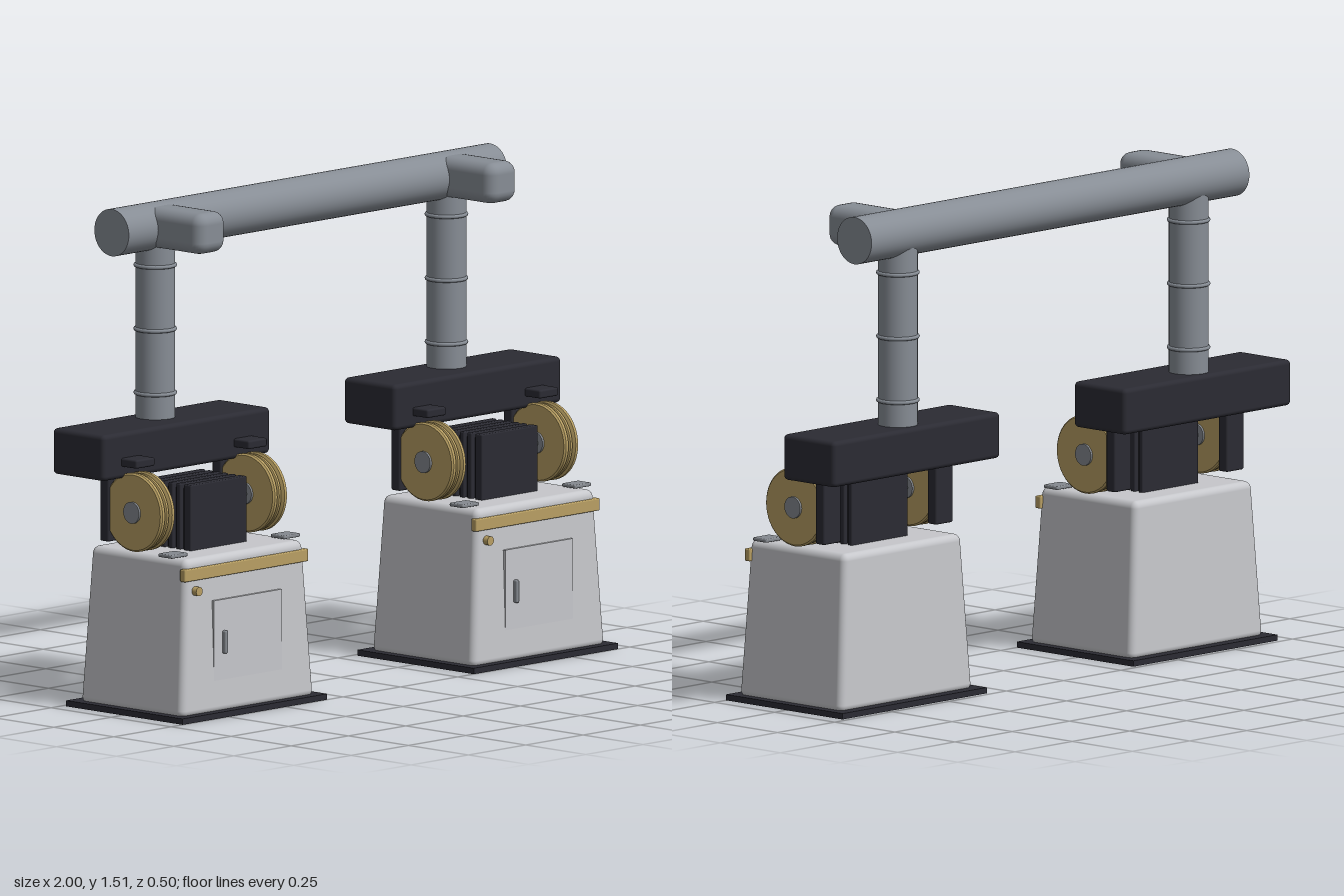
import * as THREE from 'three';
import { RoundedBoxGeometry } from 'three/addons/geometries/RoundedBoxGeometry.js';

const mat = (name, color) => {
  const m = new THREE.MeshStandardMaterial({ color });
  m.name = name;
  return m;
};

export function createModel() {
  const paint = mat('light grey paint', 0xc6c7cb);
  const black = mat('black housing', 0x2b2b33);
  const brass = mat('brass', 0xb89f63);
  const pipe = mat('pipe grey', 0x878d95);
  const steel = mat('steel', 0x85898f);

  const add = (parent, name, geo, material, x = 0, y = 0, z = 0) => {
    const m = new THREE.Mesh(geo, material);
    m.name = name;
    m.position.set(x, y, z);
    parent.add(m);
    return m;
  };
  // Box given by centre x, width, and its y and z ranges; r rounds the edges
  const block = (parent, name, material, x, w, y0, y1, z0, z1, r = 0) => {
    const geo = r
      ? new RoundedBoxGeometry(w, y1 - y0, z1 - z0, 3, r)
      : new THREE.BoxGeometry(w, y1 - y0, z1 - z0);
    return add(parent, name, geo, material, x, (y0 + y1) / 2, (z0 + z1) / 2);
  };
  const rodX = (r, len) => new THREE.CylinderGeometry(r, r, len, 40).rotateZ(Math.PI / 2);

  // Cabinet body: rounded box narrowing upwards, with matching normals
  const H = 0.48, taperX = 0.115, taperZ = 0.08;
  const cabinetGeo = new RoundedBoxGeometry(0.58, H, 0.43, 4, 0.022);
  const pos = cabinetGeo.attributes.position, nor = cabinetGeo.attributes.normal;
  const n = new THREE.Vector3();
  for (let i = 0; i < pos.count; i++) {
    const x = pos.getX(i), z = pos.getZ(i), t = pos.getY(i) / H + 0.5;
    const kx = 1 - taperX * t, kz = 1 - taperZ * t;
    n.fromBufferAttribute(nor, i);
    n.set(n.x / kx, n.y + (taperX * x * n.x / kx + taperZ * z * n.z / kz) / H, n.z / kz).normalize();
    pos.setXYZ(i, x * kx, pos.getY(i), z * kz);
    nor.setXYZ(i, n.x, n.y, n.z);
  }

  // Grooved wheel, turned about its axle; each profile step is repeated for a hard edge
  const outline = [[0.001, -0.031], [0.115, -0.031], [0.12, -0.026], [0.12, -0.016], [0.108, -0.011],
    [0.108, -0.008], [0.117, -0.004], [0.117, 0.004], [0.108, 0.008], [0.108, 0.011],
    [0.12, 0.016], [0.12, 0.026], [0.115, 0.031], [0.001, 0.031]];
  const profile = outline.flatMap(([r, y], i) => {
    const p = new THREE.Vector2(r, y);
    return i > 0 && i < outline.length - 1 ? [p, p.clone()] : [p];
  });
  const wheelGeo = new THREE.LatheGeometry(profile, 48).toNonIndexed();
  wheelGeo.rotateZ(Math.PI / 2);

  const makeUnit = () => {
    const unit = new THREE.Group();

    // Cabinet and its front fittings
    block(unit, 'basePlate', black, 0, 0.63, 0, 0.018, -0.235, 0.25);
    add(unit, 'cabinet', cabinetGeo, paint, 0, 0.01 + H / 2, 0.01);
    block(unit, 'brassStrip', brass, 0, 0.54, 0.425, 0.463, 0.195, 0.217, 0.004);
    block(unit, 'door', paint, 0, 0.295, 0.11, 0.355, 0.2, 0.2215);
    block(unit, 'doorHandle', steel, -0.105, 0.014, 0.19, 0.26, 0.215, 0.235, 0.005);
    const lock = add(unit, 'lockButton', new THREE.CylinderGeometry(0.014, 0.014, 0.025, 24), brass, -0.22, 0.393, 0.217);
    lock.rotation.x = Math.PI / 2;

    // Motor with cooling fins
    block(unit, 'motorCore', black, 0, 0.215, 0.485, 0.675, -0.085, 0.09);
    for (let i = 0; i < 6; i++) {
      const z = -0.09 + i * 0.032;
      block(unit, 'motorFin', black, 0, 0.245, 0.485, 0.69, z, z + (i === 5 ? 0.03 : 0.018), 0.004);
    }

    // Axle, wheels, guards and feet
    add(unit, 'axle', rodX(0.014, 0.5), steel, 0, 0.615, 0.005);
    for (const s of [-1, 1]) {
      const x = s * 0.245;
      add(unit, 'wheel', wheelGeo, brass, x, 0.615, 0.005);
      add(unit, 'wheelHub', rodX(0.033, 0.076), steel, x, 0.615, 0.005);
      block(unit, 'rearGuard', black, x, 0.075, 0.515, 0.73, -0.127, -0.09, 0.006);
      block(unit, 'wheelBracket', black, x, 0.082, 0.752, 0.778, -0.05, 0.03, 0.006);
      block(unit, 'footTab', steel, x, 0.072, 0.493, 0.504, 0.115, 0.172, 0.004);
    }

    // Overhead housing and riser pipe
    block(unit, 'headHousing', black, 0, 0.73, 0.715, 0.855, -0.247, -0.032, 0.014);
    add(unit, 'riserPipe', new THREE.CylinderGeometry(0.06, 0.06, 0.6, 40), pipe, 0, 1.14, -0.165);
    for (const y of [0.93, 1.125, 1.32]) {
      const ring = add(unit, 'pipeRing', new THREE.TorusGeometry(0.06, 0.006, 8, 40), pipe, 0, y, -0.165);
      ring.rotation.x = Math.PI / 2;
    }
    block(unit, 'elbow', pipe, 0, 0.124, 1.38, 1.504, -0.17, 0.08, 0.035);
    return unit;
  };

  const model = new THREE.Group();
  model.name = 'twinExtractor';
  for (const s of [-1, 1]) {
    const unit = makeUnit();
    unit.name = s < 0 ? 'rightUnit' : 'leftUnit';
    unit.position.x = s * 0.635;
    model.add(unit);
  }
  // Shared duct across the top
  add(model, 'crossDuct', rodX(0.072, 1.65), pipe, 0, 1.44, -0.165);
  return model;
}
